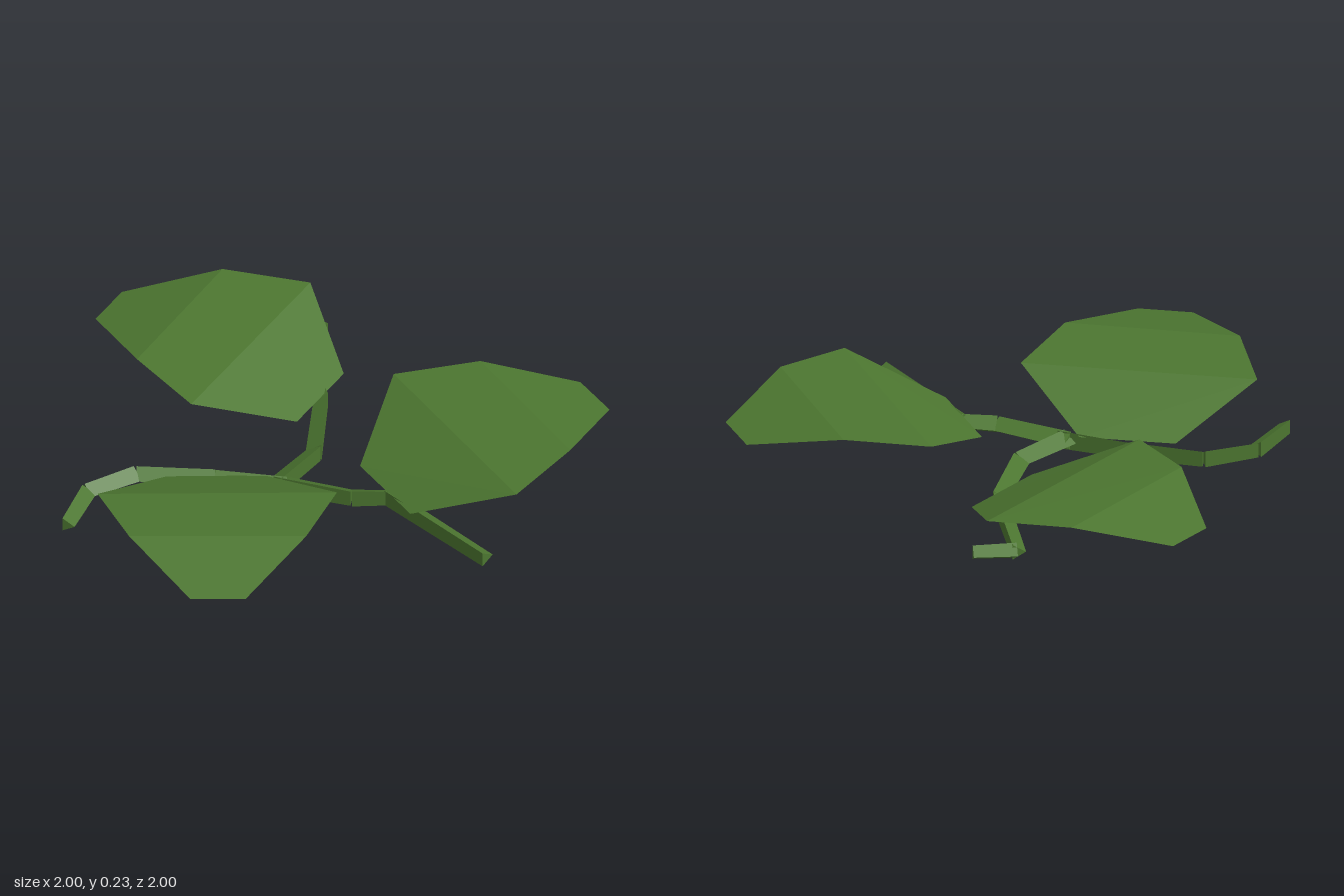
import * as THREE from 'three';

const leafGreen = new THREE.MeshStandardMaterial({
  name: 'leafGreen', color: 0x4c7630, side: THREE.DoubleSide, flatShading: true,
});

const STEM_Y = 0.043;
// Heights of the four cross-ribs of every leaf, from base to tip
const RIB_Y = [0.07, 0.21, 0.235, 0.165];

// Leaf: a thin folded sheet through four cross-ribs, each [x1, z1, x2, z2]
function makeLeaf(name, ribs) {
  const positions = [];
  const index = [];
  ribs.forEach(([x1, z1, x2, z2], i) => {
    positions.push(x1, RIB_Y[i], z1, x2, RIB_Y[i], z2);
    if (i > 0) {
      const a = 2 * (i - 1);
      index.push(a, a + 1, a + 2, a + 1, a + 3, a + 2);
    }
  });
  // Wind the faces so that they look upwards
  const [ax, az, bx, bz] = ribs[0];
  const [cx, cz] = ribs[1];
  if ((bz - az) * (cx - ax) - (bx - ax) * (cz - az) < 0) index.reverse();
  const geo = new THREE.BufferGeometry();
  geo.setAttribute('position', new THREE.Float32BufferAttribute(positions, 3));
  geo.setIndex(index);
  const flat = geo.toNonIndexed();
  flat.computeVertexNormals();
  const mesh = new THREE.Mesh(flat, leafGreen);
  mesh.name = name;
  return mesh;
}

// Stem: a chain of three-sided rods along [x, z] joints, ridge on the left side
function makeStem(name, joints) {
  const group = new THREE.Group();
  group.name = name;
  const up = new THREE.Vector3(0, 1, 0);
  for (let i = 0; i < joints.length - 1; i++) {
    const a = new THREE.Vector3(joints[i][0], STEM_Y, joints[i][1]);
    const b = new THREE.Vector3(joints[i + 1][0], STEM_Y, joints[i + 1][1]);
    const dir = b.clone().sub(a);
    const length = dir.length();
    dir.normalize();
    const left = up.clone().cross(dir);
    const side = dir.clone().cross(left);
    const r = 0.042 - 0.002 * i;
    const rod = new THREE.Mesh(new THREE.CylinderGeometry(r - 0.004, r, length, 3), leafGreen);
    rod.name = 'stemSegment';
    rod.quaternion.setFromRotationMatrix(new THREE.Matrix4().makeBasis(side, dir, left));
    rod.position.copy(a).add(b).multiplyScalar(0.5);
    group.add(rod);
  }
  return group;
}

export function createModel() {
  const model = new THREE.Group();
  model.name = 'creepingPlant';

  // Three broad leaves
  model.add(makeLeaf('frontLeaf', [
    [-0.52, 0.14, -0.17, 0.04], [-0.69, 0.5, 0.17, 0.26],
    [-0.5, 0.76, 0.14, 0.59], [-0.2, 0.995, 0, 0.94],
  ]));
  model.add(makeLeaf('leftLeaf', [
    [0.42, 0.135, 0.16, -0.11], [0.82, 0.1, 0.18, -0.52],
    [0.95, -0.19, 0.48, -0.65], [1, -0.57, 0.85, -0.71],
  ]));
  model.add(makeLeaf('backLeaf', [
    [-0.14, -0.32, -0.05, -0.66], [-0.5, -0.14, -0.27, -1],
    [-0.76, -0.33, -0.6, -0.965], [-1, -0.63, -0.95, -0.82],
  ]));

  // Three creeping stems spreading from the centre
  model.add(makeStem('rightStem', [[-0.08, 0.06], [-0.35, 0.08], [-0.64, 0.13], [-0.79, 0.28], [-0.81, 0.5]]));
  model.add(makeStem('backStem', [[-0.12, 0.05], [-0.03, -0.19], [-0.09, -0.51], [-0.34, -0.885], [-0.197, -0.967]]));
  model.add(makeStem('leftStem', [[-0.13, 0.03], [0.17, 0.045], [0.3, 0.01], [0.755, 0.297]]));
  return model;
}
